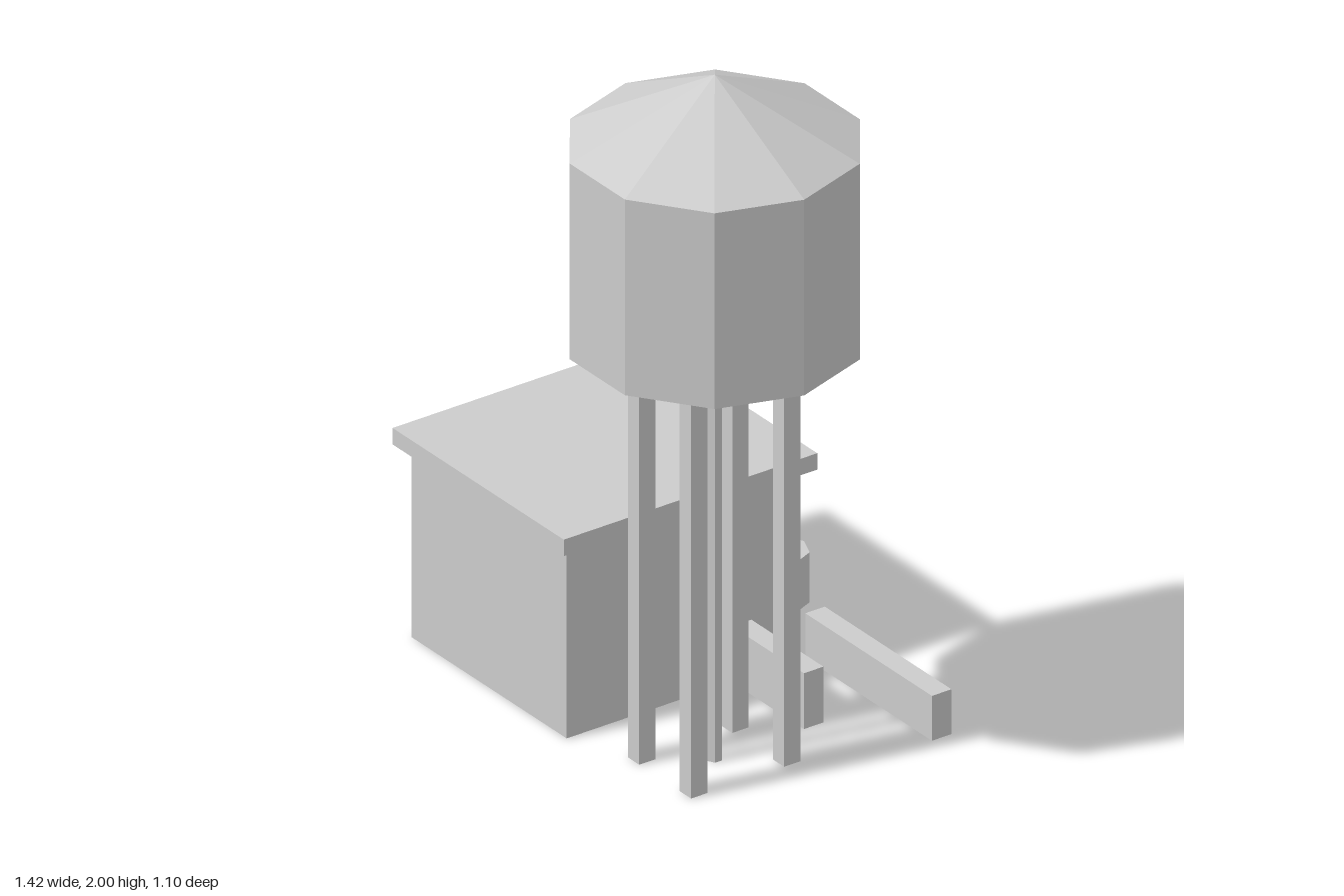
import * as THREE from 'three';

const gray = new THREE.MeshStandardMaterial({ color: 0xcccccc, flatShading: true, side: THREE.DoubleSide });
gray.name = 'light gray';

export function createModel() {
  const model = new THREE.Group();
  model.name = 'waterTowerSite';

  const add = (name, geometry) => {
    const mesh = new THREE.Mesh(geometry, gray);
    mesh.name = name;
    model.add(mesh);
  };

  // Remove a run of triangles, leaving the underside open
  const cut = (geometry, start, count) => {
    const index = Array.from(geometry.index.array);
    index.splice(start, count);
    geometry.setIndex(index);
    geometry.clearGroups();
    return geometry;
  };

  // Box given by its limits on each axis
  const box = (name, [x0, x1], [y0, y1], [z0, z1], open = true) => {
    const g = new THREE.BoxGeometry(x1 - x0, y1 - y0, z1 - z0);
    g.translate((x0 + x1) / 2, (y0 + y1) / 2, (z0 + z1) / 2);
    add(name, open ? cut(g, 18, 6) : g);
  };

  // Upright prism with an open bottom
  const prism = (name, x, z, r, y0, y1, sides, turn = 0) => {
    const g = new THREE.CylinderGeometry(r, r, y1 - y0, sides);
    cut(g, g.index.count - sides * 3, sides * 3);
    add(name, g.rotateY(turn).translate(x, (y0 + y1) / 2, z));
  };

  // Pump house and overhanging roof
  box('houseWalls', [-0.68, 0.003], [0, 0.56], [-0.316, 0.417]);
  box('houseRoof', [-0.713, 0.04], [0.56, 0.608], [-0.353, 0.453], false);

  // Door and windows on the back wall
  box('door', [-0.44, -0.2], [0, 0.4], [-0.319, -0.316], false);
  for (const x of [-0.15, -0.6]) box('window', [x, x + 0.14], [0.29, 0.42], [-0.319, -0.316], false);

  // Tank and its conical roof
  const cx = 0.318, cz = 0.174, r = 0.393;
  prism('tank', cx, cz, r, 1.233, 1.805, 10, Math.PI / 2);
  const cone = new THREE.ConeGeometry(r, 0.195, 10, 1, true).rotateY(Math.PI / 2);
  add('tankRoof', cone.translate(cx, 1.9025, cz));

  // Four legs round a central pipe
  for (const sx of [-1, 1]) {
    for (const sz of [-1, 1]) {
      const x = cx + sx * 0.114, z = cz + 0.002 + sz * 0.148;
      box('leg', [x - 0.025, x + 0.025], [0, 1.235], [z - 0.026, z + 0.026]);
    }
  }
  prism('centralPipe', cx - 0.002, cz, 0.0215, 0, 1.235, 6);

  // Low ducts behind the tower
  box('shortDuct', [0, 0.32], [0, 0.163], [-0.17, -0.108]);
  box('longDuct', [0.008, 0.565], [0, 0.131], [-0.4, -0.338]);

  // Barrel behind the house
  prism('barrel', -0.29, -0.469, 0.081, 0, 0.146, 8);

  return model;
}
